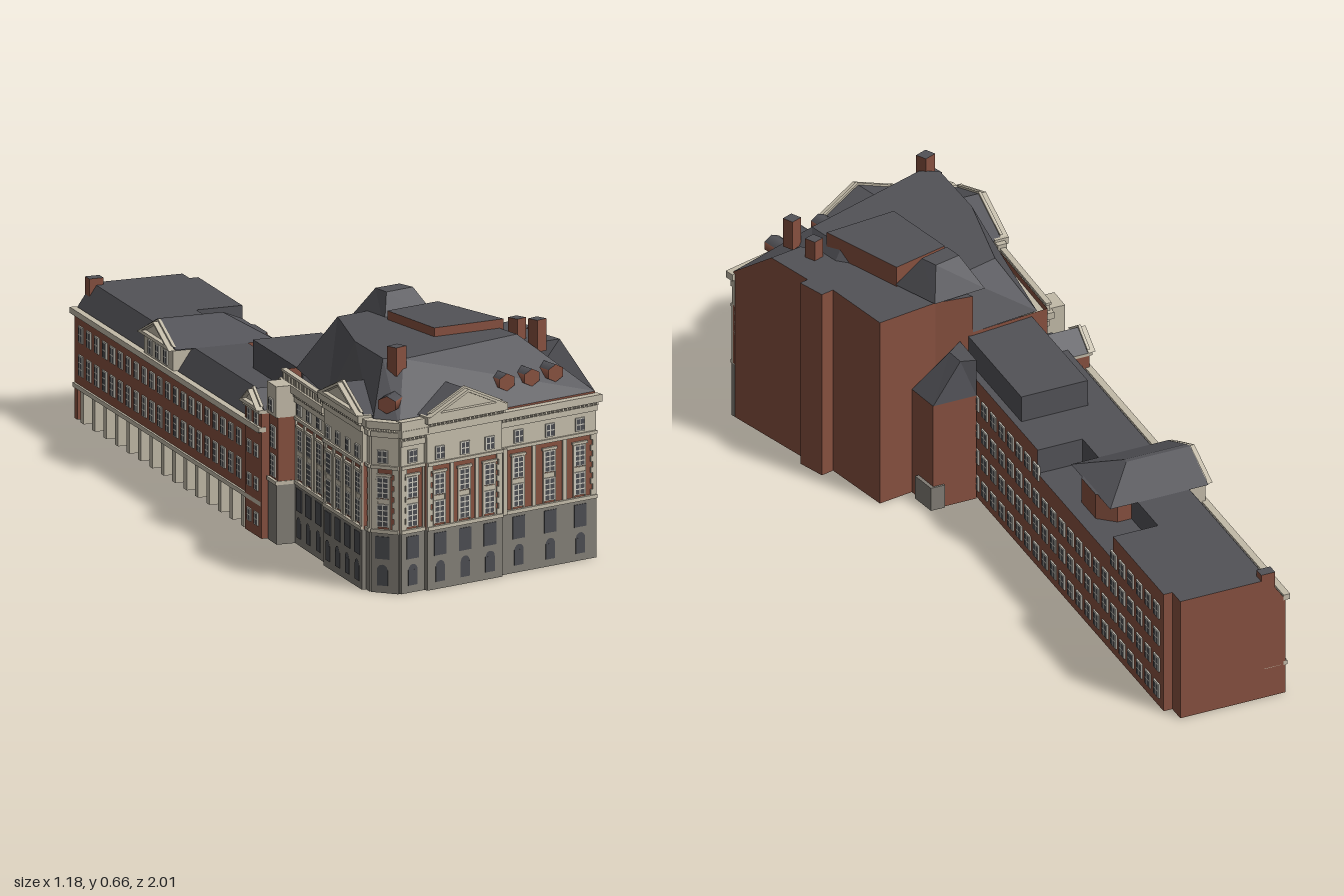
import * as THREE from 'three';
import { mergeGeometries } from 'three/addons/utils/BufferGeometryUtils.js';

const mat = (name, color) => Object.assign(new THREE.MeshStandardMaterial({ color, side: THREE.DoubleSide }), { name });
const brick = mat('brick', 0x86503f), stone = mat('pale stone', 0xc2baa8), grey = mat('grey stone', 0x817d75);
const slate = mat('slate', 0x525257), glass = mat('glass', 0x4b4c50), frame = mat('window frame', 0xc9c6bc);
const dark = mat('arcade shade', 0x3a3a3d);

// plan point of the long wing: s runs along it towards the front, t across it towards the east
const P = (s, t) => [0.32 - 0.482 * s + 0.876 * t, -1 + 0.876 * s + 0.482 * t];
const rect = (s0, s1, t0, t1) => [P(s0, t0), P(s1, t0), P(s1, t1), P(s0, t1)]; // edges: west, south, east, north

// open-bottomed solid between two plan polygons; sides may be one material or one per edge, a null cap leaves it open
function loft(name, lo, y0, hi, y1, sides, cap) {
  const pos = [], n = lo.length, geo = new THREE.BufferGeometry();
  const mats = Array.isArray(sides) ? [...sides] : [sides];
  for (let i = 0; i < n; i++) {
    const j = (i + 1) % n, a = [lo[i][0], y0, lo[i][1]], b = [lo[j][0], y0, lo[j][1]];
    const c = [hi[j][0], y1, hi[j][1]], d = [hi[i][0], y1, hi[i][1]];
    pos.push(...a, ...b, ...c, ...a, ...c, ...d);
    geo.addGroup(i * 6, 6, Array.isArray(sides) ? i : 0);
  }
  if (cap) {
    const tris = THREE.ShapeUtils.triangulateShape(hi.map(p => new THREE.Vector2(...p)), []);
    geo.addGroup(pos.length / 3, tris.length * 3, mats.length);
    mats.push(cap);
    for (const t of tris) for (const k of [t[0], t[2], t[1]]) pos.push(hi[k][0], y1, hi[k][1]);
  }
  geo.setAttribute('position', new THREE.Float32BufferAttribute(pos, 3));
  geo.computeVertexNormals();
  return Object.assign(new THREE.Mesh(geo, mats), { name });
}
const prism = (name, poly, y0, y1, sides, cap = slate) => loft(name, poly, y0, poly, y1, sides, cap);

// wall frame: local x runs left to right seen from outside, z points outwards
function wall(name, p0, p1) {
  const g = new THREE.Group(), dx = p1[0] - p0[0], dz = p1[1] - p0[1];
  g.name = name;
  g.position.set(p0[0], 0, p0[1]);
  g.rotation.y = Math.atan2(-dz, dx);
  g.userData.len = Math.hypot(dx, dz);
  return g;
}
function box(g, name, m, x0, x1, y0, y1, z1, z0 = -0.005) {
  const b = new THREE.Mesh(new THREE.BoxGeometry(x1 - x0, y1 - y0, z1 - z0), m);
  b.position.set((x0 + x1) / 2, (y0 + y1) / 2, (z0 + z1) / 2);
  b.name = name;
  g.add(b);
}

// framed window with a grid of panes, centred on x, sill at y
const paneCache = {};
function win(g, x, y, w, h, z, rows = 2) {
  box(g, 'windowFrame', frame, x - w / 2, x + w / 2, y, y + h, z + 0.004, z - 0.002);
  const key = [w, h, rows].join();
  if (!paneCache[key]) {
    const list = [], bar = 0.003, pw = (w - bar * 3) / 2, ph = (h - bar * (rows + 1)) / rows;
    for (let i = 0; i < 2; i++) for (let j = 0; j < rows; j++) {
      list.push(new THREE.PlaneGeometry(pw, ph).translate((i - 0.5) * (pw + bar), bar + ph / 2 + j * (ph + bar), 0));
    }
    paneCache[key] = mergeGeometries(list);
  }
  const panes = new THREE.Mesh(paneCache[key], glass);
  panes.position.set(x, y, z + 0.0052);
  panes.name = 'windowPanes';
  g.add(panes);
}

// six-sided brick dormer with slate on its two upper faces
function dormer(g, x, y, z) {
  const geo = new THREE.CylinderGeometry(0.028, 0.028, 0.08, 6).rotateX(Math.PI / 2).scale(1, 0.85, 1);
  geo.clearGroups();
  geo.addGroup(0, 12, 0);
  geo.addGroup(12, 12, 1);
  geo.addGroup(24, 48, 0);
  const d = new THREE.Mesh(geo, [brick, slate]);
  d.position.set(x, y, z);
  d.name = 'dormer';
  g.add(d);
}

// stone gable with a sunk centre and a slate roof running back into the building
function pediment(g, x0, x1, y, h, z, back) {
  const tri = k => {
    const c = (x0 + x1) / 2, w = (x1 - x0) / 2 * k, b = y + (k < 1 ? 0.009 : 0);
    return [[c - w, b], [c + w, b], [c, b + h * k]].map(p => new THREE.Vector2(...p));
  };
  const add = (name, shape, m, z0, depth) => {
    const e = new THREE.Mesh(new THREE.ExtrudeGeometry(shape, { depth, bevelEnabled: false }).translate(0, 0, z0), m);
    e.name = name;
    g.add(e);
  };
  const ring = new THREE.Shape(tri(1));
  ring.holes.push(new THREE.Path(tri(0.72)));
  add('pedimentMoulding', ring, stone, z - 0.01, 0.02);
  add('pedimentField', new THREE.Shape(tri(0.95)), stone, z - 0.012, 0.008);
  add('pedimentRoof', new THREE.Shape(tri(1)), slate, z - back - 0.012, back);
}

// ornate street front: grey base, brick storeys with pilasters, pale attic and cornice
function streetFront(name, p0, p1, cols, top, bay) {
  const g = wall(name, p0, p1), L = g.userData.len;
  const parts = [[0, L, 0, top]];
  if (bay) parts.push([bay[0], bay[1], 0.012, 0.475]);
  for (const [a, b, z, t] of parts) {
    box(g, 'baseStorey', grey, a, b, 0, 0.165, z + 0.008);
    box(g, 'brickStorey', brick, a, b, 0.165, 0.345, z + 0.003);
    box(g, 'stringCourse', stone, a, b, 0.162, 0.172, z + 0.012);
    box(g, 'attic', stone, a, b, 0.345, t - 0.02, z + 0.006);
    box(g, 'atticLedge', stone, a, b, 0.337, 0.346, z + 0.012);
    box(g, 'frieze', stone, a, b, t - 0.045, t - 0.03, z + 0.012);
    box(g, 'cornice', stone, a - 0.008, b + 0.008, t - 0.02, t, z + 0.022);
    for (let x = a + 0.008; x < b; x += 0.014) box(g, 'dentil', stone, x - 0.003, x + 0.003, t - 0.028, t - 0.02, z + 0.018);
    // quoins up both ends
    for (let y = 0.172, i = 0; y < 0.33; y += 0.015, i++) {
      const w = i % 2 ? 0.012 : 0.018;
      box(g, 'quoin', stone, a, a + w, y, y + 0.015, z + 0.008);
      box(g, 'quoin', stone, b - w, b, y, y + 0.015, z + 0.008);
    }
  }
  cols.forEach((x, i) => {
    const z = bay && x > bay[0] && x < bay[1] ? 0.012 : 0;
    box(g, 'doorGlass', glass, x - 0.015, x + 0.015, 0.02, 0.062, z + 0.01);
    const arch = new THREE.Mesh(new THREE.CircleGeometry(0.015, 10, 0, Math.PI), glass);
    arch.position.set(x, 0.062, z + 0.0098);
    arch.name = 'archGlass';
    g.add(arch);
    box(g, 'baseWindow', glass, x - 0.02, x + 0.02, 0.092, 0.153, z + 0.01);
    for (const s of [-1, 1]) box(g, 'surround', stone, x + s * 0.019 - 0.002, x + s * 0.019 + 0.002, 0.172, 0.322, z + 0.007);
    box(g, 'apron', stone, x - 0.021, x + 0.021, 0.241, 0.254, z + 0.006);
    box(g, 'lintel', stone, x - 0.024, x + 0.024, 0.316, 0.323, z + 0.01);
    win(g, x, 0.178, 0.034, 0.062, z + 0.003, 4);
    win(g, x, 0.256, 0.034, 0.058, z + 0.003, 4);
    win(g, x, 0.352, 0.03, 0.036, z + 0.006);
    const next = cols[i + 1];
    if (next) box(g, 'pilaster', stone, (x + next) / 2 - 0.006, (x + next) / 2 + 0.006, 0.165, 0.345, z + 0.008);
  });
  if (bay) pediment(g, bay[0] - 0.006, bay[1] + 0.006, 0.472, 0.06, 0.026, 0.13);
  return g;
}

function mainBlock() {
  const g = new THREE.Group();
  g.name = 'mainBlock';
  const A = [-0.545, 0.825], B = [0.08, 0.975], W = P(1.965, 0.065);
  const east = [[0.14, 0.69], [0.165, 0.695], [0.178, 0.615], [0.142, 0.605], [0.2, 0.41], [0.035, 0.35], [-0.05, 0.29]];
  const west = P(1.65, 0.065), back = P(1.333, 0.07);
  g.add(prism('walls', [A, B, ...east, back, west, W], 0, 0.45, brick, null));
  // east block with its front edge raked back, and the mansard roof
  const inner = [[-0.05, 0.5], [0.02, 0.8]];
  g.add(loft('eastBlock', [B, ...east, ...inner], 0.45, [[0.11, 0.83], ...east, ...inner], 0.562,
    [...Array(8).fill(brick), slate, slate], slate));
  g.add(loft('mansardRoof', [B, A, W, west, P(1.333, 0.1), [-0.05, 0.29], [0.09, 0.7]], 0.45,
    [[-0.03, 0.8], [-0.42, 0.735], [-0.45, 0.69], [-0.36, 0.52], [-0.19, 0.32], [-0.06, 0.35], [0, 0.68]], 0.598, slate, slate));
  // rooftop rooms and chimneys
  g.add(prism('penthouse', [[-0.19, 0.65], [-0.13, 0.44], [0.03, 0.48], [0, 0.73]], 0.562, 0.622, brick));
  g.add(loft('roofLantern', [[-0.13, 0.43], [-0.09, 0.28], [0.05, 0.34], [0.035, 0.48]], 0.57,
    [[-0.085, 0.4], [-0.07, 0.35], [0.005, 0.37], [0, 0.42]], 0.657, slate, slate));
  for (const [x, z, w, y, h] of [[-0.444, 0.73, 0.036, 0.56, 0.638], [0.015, 0.83, 0.032, 0.55, 0.637], [0.04, 0.74, 0.03, 0.56, 0.62]]) {
    g.add(prism('chimney', [[x - w / 2, z - 0.016], [x + w / 2, z - 0.012], [x + w / 2, z + 0.02], [x - w / 2, z + 0.016]], y, h, brick));
  }
  // street fronts
  const front = streetFront('frontFacade', A, B, [0.037, 0.118, 0.2, 0.282, 0.386, 0.489, 0.588], 0.445, [0.077, 0.324]);
  box(front, 'leftCornice', stone, -0.008, 0.08, 0.43, 0.47, 0.02);
  for (const x of [0.375, 0.457, 0.535]) dormer(front, x, 0.51, -0.068);
  g.add(front);
  const corner = streetFront('cornerFacade', W, A, [0.032], 0.468);
  dormer(corner, 0.035, 0.505, -0.055);
  g.add(corner);
  g.add(streetFront('westFacade', west, W, [0.05, 0.12, 0.19, 0.26], 0.468, [0.016, 0.292]));
  // recessed link with a balustrade and a narrow projecting end bay
  const link = streetFront('westLink', P(1.345, 0.07), west, [0.045, 0.11, 0.18, 0.255], 0.43);
  for (let x = 0.01; x < 0.3; x += 0.02) box(link, 'baluster', stone, x - 0.005, x + 0.005, 0.43, 0.45, 0.016, 0.004);
  box(link, 'balustradeRail', stone, 0, 0.3, 0.45, 0.457, 0.018, 0.002);
  box(link, 'parapetWalk', stone, 0, 0.3, 0.425, 0.432, 0.002, -0.03);
  box(link, 'endBayBase', grey, 0.015, 0.08, 0, 0.165, 0.06);
  box(link, 'endBayBrick', brick, 0.015, 0.08, 0.165, 0.345, 0.056);
  box(link, 'endBayAttic', stone, 0.013, 0.082, 0.345, 0.43, 0.062);
  box(link, 'endBayBand', stone, 0.013, 0.082, 0.162, 0.172, 0.064);
  for (const y of [0.178, 0.256]) win(link, 0.047, y, 0.034, 0.06, 0.056, 4);
  win(link, 0.047, 0.355, 0.03, 0.036, 0.062);
  g.add(link);
  // stair turret and porch in the east corner
  const turret = [[0.14, 0.28], [0.105, 0.375], [-0.02, 0.31], [0.03, 0.22]];
  g.add(prism('stairTurret', turret, 0, 0.32, brick));
  g.add(loft('turretRoof', turret, 0.32, [[0.06, 0.25], [0.04, 0.3], [-0.02, 0.31], [0.03, 0.22]], 0.43, slate, slate));
  g.add(prism('porch', [[0.15, 0.28], [0.125, 0.35], [0.09, 0.33], [0.115, 0.26]], 0, 0.07, grey, grey));
  return g;
}

function longWing() {
  const g = new THREE.Group(), E = 0.33, S = 1.345, N = 0.05, M0 = 0.365, M1 = 0.835;
  g.name = 'longWing';
  // narrower bay at the far end
  const lower = t => [P(0, t), P(S, t), P(S, E), P(N, E), P(N, 0.305), P(0, 0.305)];
  g.add(prism('groundStorey', lower(0.06), 0, 0.09, [dark, ...Array(5).fill(brick)], null));
  g.add(prism('upperStoreys', lower(0), 0.09, 0.29, brick, null));
  g.add(prism('arcadeSoffit', rect(0, S, 0, 0.06), 0.088, 0.089, stone, stone));
  g.add(prism('terrace', rect(M0, M1, 0.2, E), 0.288, 0.29, slate));
  // top storey: full width at both ends, set back in the middle, west side a steep slate roof
  for (const [s0, s1, t] of [[0, N, 0.305], [N, M0, E], [M0, M1, 0.2], [M1, S, E]]) {
    g.add(loft('topStorey', rect(s0, s1, 0, t), 0.29, rect(s0, s1, 0.05, t), 0.363,
      [slate, slate, t === 0.2 ? slate : brick, s0 > N ? slate : brick], slate));
  }
  g.add(prism('endParapet', rect(0, 0.03, 0.03, 0.07), 0.32, 0.382, brick));
  g.add(prism('plantRoom', rect(0.98, 1.34, 0.117, 0.31), 0.36, 0.44, slate));
  // brick bay and cross roof
  const bay = [P(0.53, 0.1), P(0.7, 0.1), P(0.7, 0.24), P(0.66, 0.285), P(0.57, 0.285), P(0.53, 0.24)];
  g.add(prism('roofBay', bay, 0.29, 0.365, brick));
  g.add(loft('crossRoof', rect(0.49, 0.735, -0.005, 0.28), 0.363, rect(0.605, 0.618, -0.005, 0.18), 0.418, slate, slate));

  // east wall windows
  const east = wall('eastWall', P(S, E), P(N, E));
  for (let i = 0; i < 22; i++) {
    const x = 0.13 + i * 0.0535, mid = S - x > M0 && S - x < M1;
    for (const y of mid ? [0.026, 0.108, 0.19] : [0.026, 0.108, 0.19, 0.273]) win(east, x, y, 0.034, 0.044, 0);
  }
  g.add(east);
  // west wall: windows, bands, cornice and arcade piers
  const west = wall('westWall', P(0, 0), P(S, 0));
  for (let i = 0; i < 21; i++) {
    const x = 0.05 + i * 0.0565;
    win(west, x, 0.125, 0.03, 0.056, 0, 3);
    win(west, x, 0.215, 0.03, 0.045, 0);
  }
  box(west, 'arcadeBand', stone, 0, S, 0.086, 0.098, 0.006);
  box(west, 'cornice', stone, 0, S, 0.287, 0.303, 0.014);
  for (let i = 0; i < 15; i++) box(west, 'arcadePier', stone, 0.05 + i * 0.082, 0.072 + i * 0.082, 0, 0.088, 0.003, -0.035);
  box(west, 'endPier', brick, 0, 0.02, 0, 0.09, 0, -0.06);
  // central gable
  box(west, 'gableWall', stone, 0.51, 0.72, 0.3, 0.362, 0.006, -0.06);
  for (const x of [0.56, 0.615, 0.67]) win(west, x, 0.31, 0.028, 0.04, 0.006);
  pediment(west, 0.5, 0.73, 0.36, 0.053, 0.012, 0.05);
  // brick pavilion where the wing meets the main block
  box(west, 'pavilion', brick, 1.235, 1.352, 0, 0.345, 0.006, -0.1);
  box(west, 'pavilionBand', stone, 1.232, 1.355, 0.29, 0.303, 0.014);
  box(west, 'pavilionCornice', stone, 1.232, 1.355, 0.34, 0.35, 0.014, -0.1);
  for (const x of [1.268, 1.318]) for (const y of [0.03, 0.125, 0.215, 0.304]) win(west, x, y, 0.028, 0.035, 0.006);
  pediment(west, 1.23, 1.357, 0.35, 0.045, 0.012, 0.1);
  g.add(west);
  return g;
}

export function createModel() {
  const model = new THREE.Group();
  model.name = 'cityBuilding';
  model.add(mainBlock(), longWing());
  return model;
}
